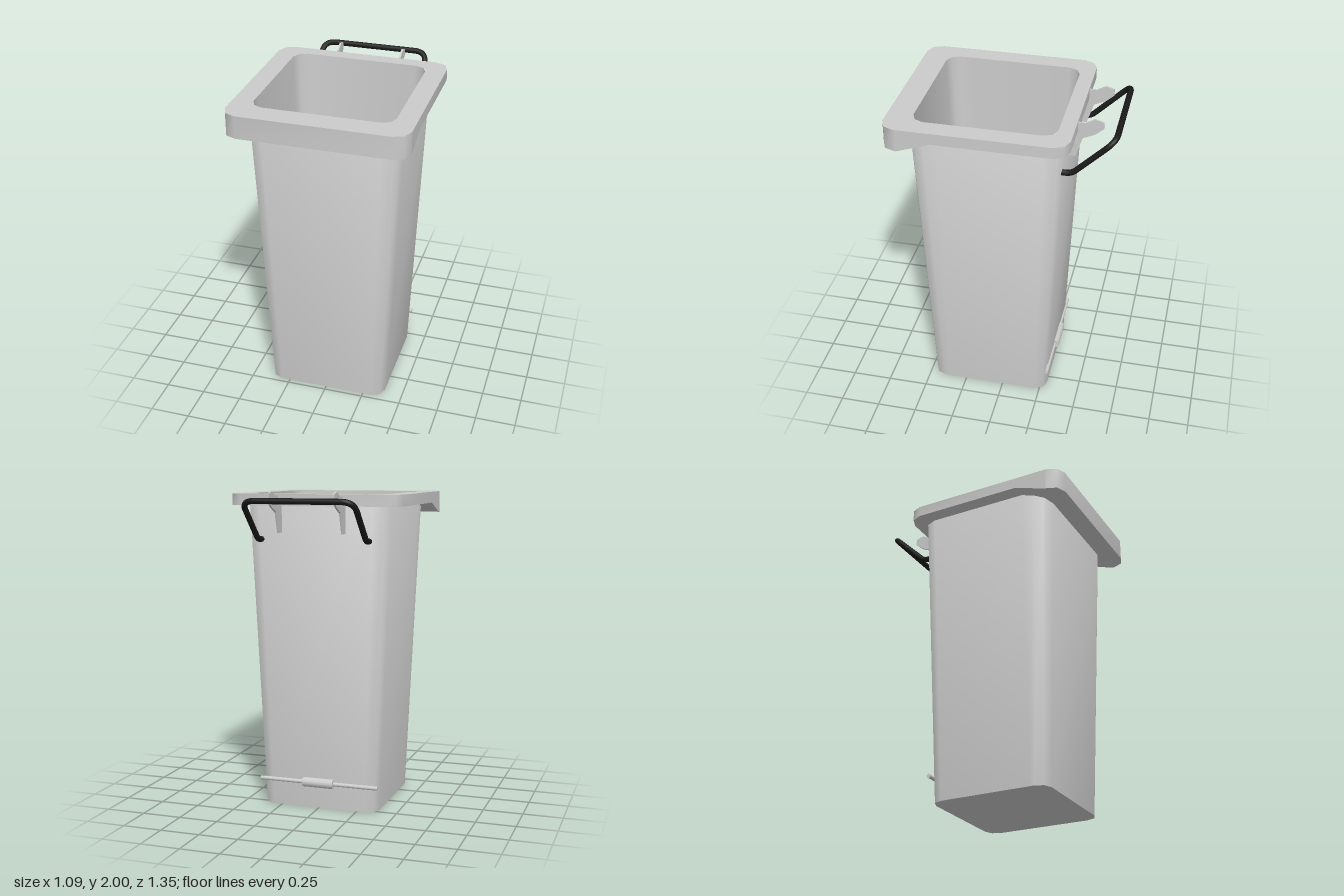
import * as THREE from 'three';
import { toCreasedNormals } from 'three/addons/utils/BufferGeometryUtils.js';

const grey = new THREE.MeshStandardMaterial({ color: 0xcccccc });
const black = new THREE.MeshStandardMaterial({ color: 0x1a1a1a });

// Side stations where the underside of the rim changes slope
const STATIONS = [0.37, 0.575];

// Square ring with two-segment rounded corners; height is a number or a function of z
function ring(half, radius, cz, height) {
  const pts = [];
  const add = (x, z) => pts.push(new THREE.Vector3(x, typeof height === 'function' ? height(z) : height, z));
  const inner = half - radius;
  const side = (z) => Math.min(z, cz + inner);
  const corner = (sx, sz, start) => {
    for (let k = 0; k <= 2; k++) {
      const a = start + (k * Math.PI) / 4;
      add(sx * inner + radius * Math.cos(a), cz + sz * inner + radius * Math.sin(a));
    }
  };
  STATIONS.forEach((z) => add(half, side(z)));
  corner(1, 1, 0);
  corner(-1, 1, Math.PI / 2);
  [...STATIONS].reverse().forEach((z) => add(-half, side(z)));
  corner(-1, -1, Math.PI);
  corner(1, -1, Math.PI * 1.5);
  return pts;
}

// Skin consecutive rings, leaving out collapsed triangles
function loft(rings) {
  const pos = [];
  const tri = (a, b, c) => {
    if (new THREE.Triangle(a, b, c).getArea() > 1e-8) pos.push(...a, ...b, ...c);
  };
  for (let r = 0; r < rings.length - 1; r++) {
    const A = rings[r], B = rings[r + 1];
    for (let i = 0; i < A.length; i++) {
      const j = (i + 1) % A.length;
      tri(A[i], B[i], A[j]);
      tri(A[j], B[i], B[j]);
    }
  }
  const g = new THREE.BufferGeometry();
  g.setAttribute('position', new THREE.Float32BufferAttribute(pos, 3));
  return toCreasedNormals(g, 0.9);
}

// Polyline with bends rounded off by the given distance
function roundedPath(points, bends) {
  const path = new THREE.CurvePath();
  let from = points[0];
  for (let i = 1; i < points.length - 1; i++) {
    const p = points[i];
    const toward = (q) => p.clone().add(q.clone().sub(p).setLength(bends[i - 1]));
    const a = toward(points[i - 1]), b = toward(points[i + 1]);
    path.add(new THREE.LineCurve3(from, a));
    path.add(new THREE.QuadraticBezierCurve3(a, p, b));
    from = b;
  }
  path.add(new THREE.LineCurve3(from, points[points.length - 1]));
  return path;
}

export function createModel() {
  const model = new THREE.Group();
  model.name = 'wheelieBin';
  const add = (name, geometry, material = grey) => {
    const mesh = new THREE.Mesh(geometry, material);
    mesh.name = name;
    model.add(mesh);
    return mesh;
  };

  // Tapered hollow body: outside wall, then inside wall and floor
  const cz = 0.09;
  add('body', loft([
    ring(0, 0, cz, 0),
    ring(0.38, 0.075, cz, 0),
    ring(0.456, 0.095, cz, 1.93),
    ring(0.425, 0.075, 0.095, 1.98),
    ring(0.35, 0.06, 0.1, 0.03),
    ring(0, 0, 0.1, 0.03),
  ]));

  // Rim collar, deeper at the front
  const underside = (z) => 1.91 - 0.07 * THREE.MathUtils.clamp((z - 0.37) / 0.205, 0, 1);
  add('rim', loft([
    ring(0.445, 0.09, cz, underside),
    ring(0.547, 0.09, 0.127, underside),
    ring(0.547, 0.09, 0.127, 1.98),
    ring(0.425, 0.075, 0.095, 1.98),
  ]));

  // Bent handle bar at the back
  const hx = 0.345;
  const half = [[1.703, -0.34], [1.703, -0.412], [1.945, -0.658]];
  const bar = [
    ...half.map(([y, z]) => new THREE.Vector3(hx, y, z)),
    ...[...half].reverse().map(([y, z]) => new THREE.Vector3(-hx, y, z)),
  ];
  add('handle', new THREE.TubeGeometry(roundedPath(bar, [0.035, 0.08, 0.08, 0.035]), 120, 0.018, 10), black);

  // Flat hinge brackets, drawn as (z, y) profiles
  const profile = [
    [-0.35, 1.745], [-0.41, 1.745], [-0.45, 1.87], [-0.525, 1.905], [-0.57, 1.945],
    [-0.57, 1.985], [-0.52, 2], [-0.465, 1.97], [-0.35, 1.97],
  ];
  const shape = new THREE.Shape(profile.map(([z, y]) => new THREE.Vector2(-z, y)));
  const plate = new THREE.ExtrudeGeometry(shape, { depth: 0.012, bevelEnabled: false });
  plate.translate(0, 0, -0.006).rotateY(Math.PI / 2);
  for (const [name, x] of [['rightBracket', -0.193], ['leftBracket', 0.215]]) {
    add(name, plate).position.x = x;
  }

  // Wheel axle with its central sleeve
  const rod = (name, radius, length) => {
    const g = new THREE.CylinderGeometry(radius, radius, length, 12).rotateZ(Math.PI / 2);
    add(name, g).position.set(0, 0.165, -0.297);
  };
  rod('axle', 0.013, 0.78);
  rod('axleSleeve', 0.031, 0.2);

  return model;
}
